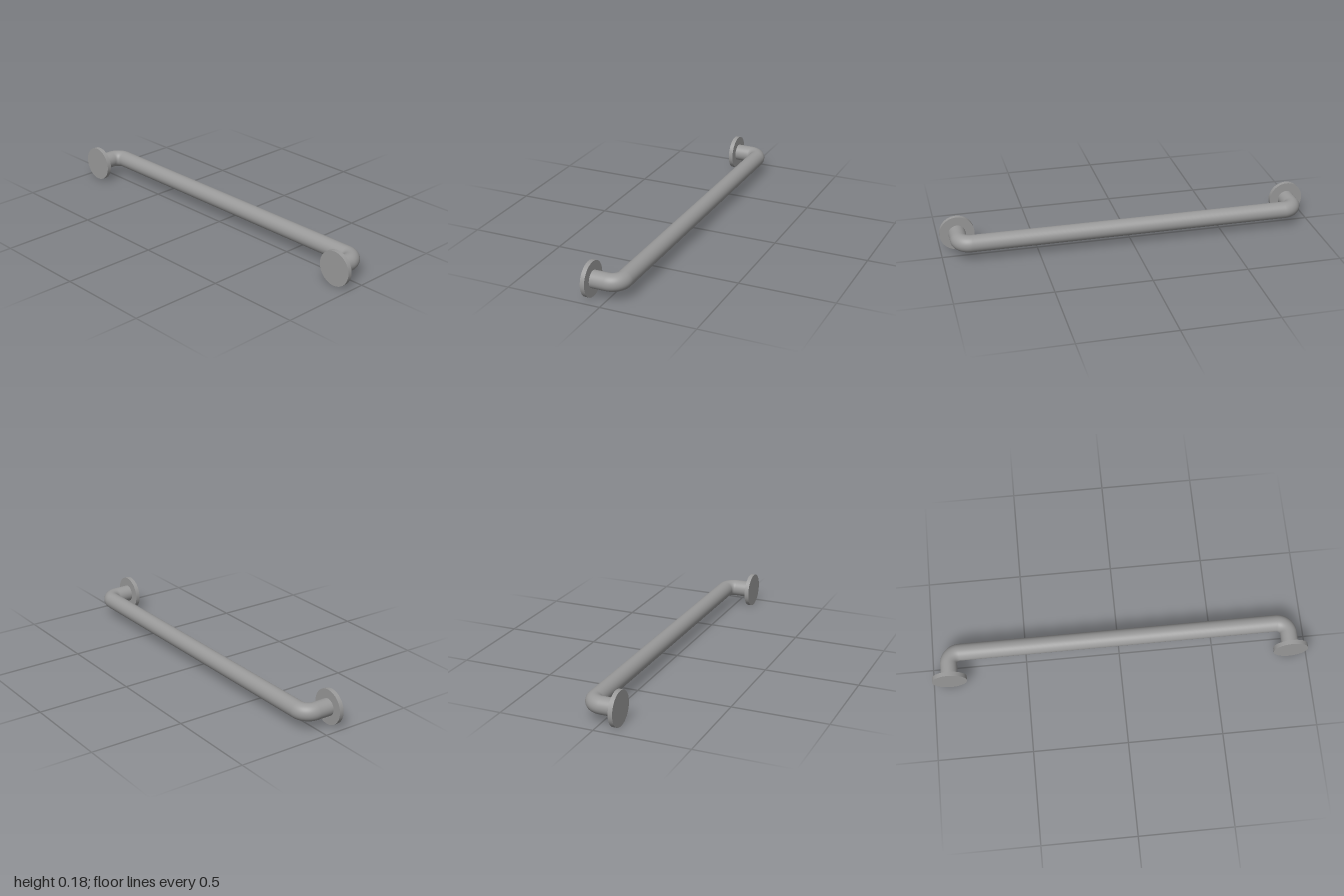
import * as THREE from 'three';

const steel = new THREE.MeshStandardMaterial({ color: 0x999999 });
steel.name = 'brushed steel';

const SIDES = 48;
const TUBE_R = 0.045;      // radius of the tube
const BEND_R = 0.06;       // centreline radius of the elbows
const FLANGE_R = 0.0915;   // radius of the wall flanges, also the axis height
const WALL_X = -0.102;     // wall side of the flanges
const FLANGE_T = 0.023;
const BAR_X = 0.057;       // axis of the long bar
const END_Z = 1 - FLANGE_R; // axis of the end stubs

export function createModel() {
  const model = new THREE.Group();
  model.name = 'grabBar';

  const add = (parent, name, geometry, x, z) => {
    const mesh = new THREE.Mesh(geometry, steel);
    mesh.name = name;
    mesh.position.set(x, FLANGE_R, z);
    parent.add(mesh);
    return mesh;
  };

  // Long straight bar
  const bendX = BAR_X - BEND_R;
  const bendZ = END_Z - BEND_R;
  const bar = new THREE.CylinderGeometry(TUBE_R, TUBE_R, 2 * bendZ, SIDES, 1, true);
  add(model, 'bar', bar.rotateX(Math.PI / 2), BAR_X, 0);

  // Geometry shared by both ends
  const flangeFace = WALL_X + FLANGE_T;
  const stubLength = bendX - flangeFace;
  const elbow = new THREE.TorusGeometry(BEND_R, TUBE_R, SIDES, 20, Math.PI / 2);
  const stub = new THREE.CylinderGeometry(TUBE_R, TUBE_R, stubLength, SIDES, 1, true).rotateZ(Math.PI / 2);
  const flange = new THREE.CylinderGeometry(FLANGE_R, FLANGE_R, FLANGE_T, 64).rotateZ(Math.PI / 2);

  for (const side of [1, -1]) {
    const end = new THREE.Group();
    end.name = side > 0 ? 'frontEnd' : 'backEnd';
    // Elbow turning from the bar towards the wall
    add(end, 'elbow', elbow, bendX, side * bendZ).rotation.x = side * Math.PI / 2;
    // Short stub and round wall flange
    add(end, 'stub', stub, flangeFace + stubLength / 2, side * END_Z);
    add(end, 'flange', flange, WALL_X + FLANGE_T / 2, side * END_Z);
    model.add(end);
  }
  return model;
}
